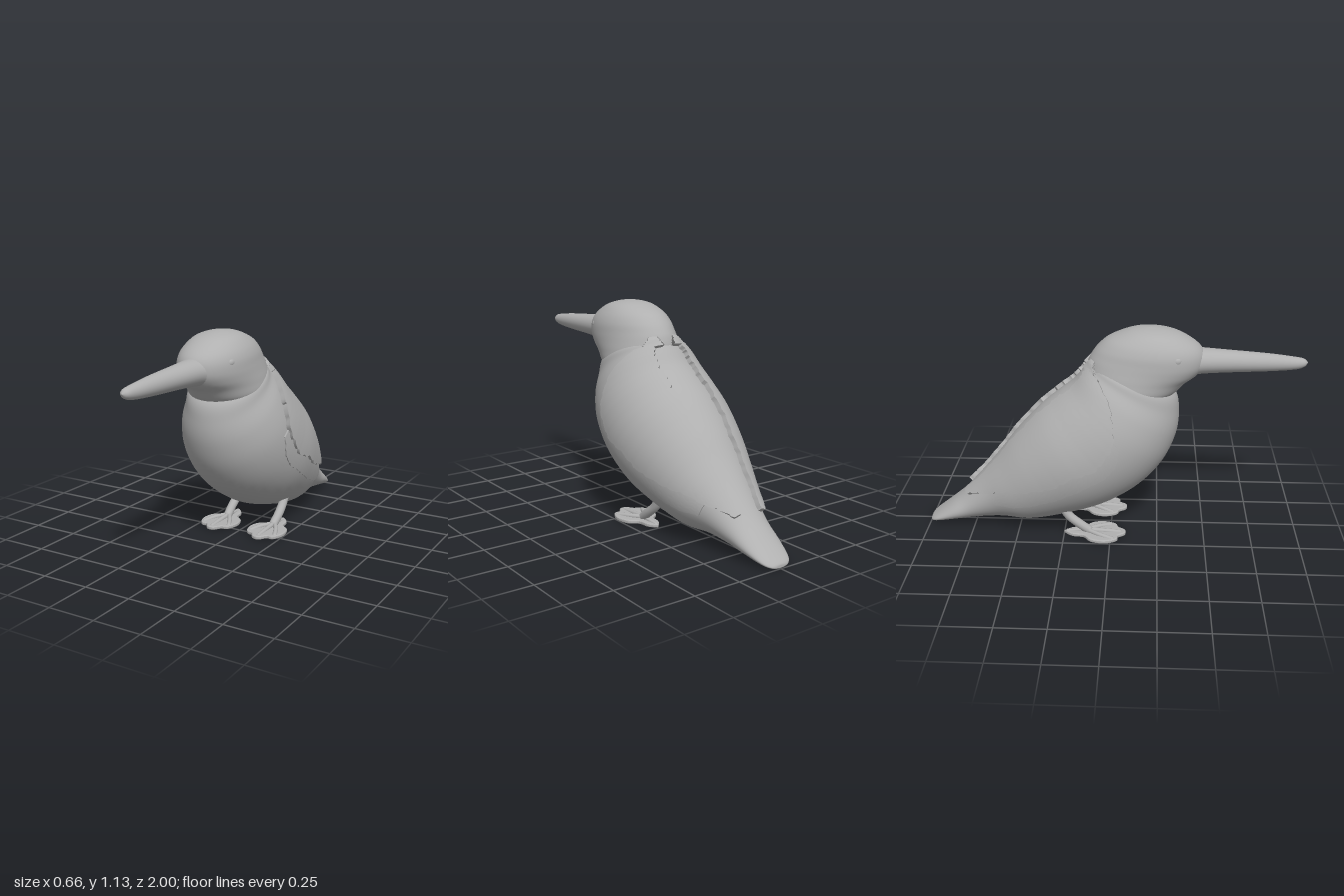
import * as THREE from 'three';
import { toCreasedNormals } from 'three/addons/utils/BufferGeometryUtils.js';

const plumage = new THREE.MeshStandardMaterial({ color: 0xb0b0b0 });
plumage.name = 'plumage grey';

// Sections are [z1, y1, z2, y2, halfWidth]: an oval spanning two points on the side profile.
const BODY = [
  [-1, .02, -1, .02, 0], [-.995, .035, -.995, .01, .05], [-.96, .065, -.95, .015, .085],
  [-.88, .13, -.84, .03, .11], [-.8, .2, -.72, .045, .125], [-.7, .31, -.58, .055, .16],
  [-.6, .43, -.42, .05, .215], [-.5, .56, -.22, .095, .265], [-.38, .69, -.02, .165, .3],
  [-.28, .775, .16, .28, .303], [-.2, .84, .28, .42, .288], [-.15, .9, .34, .56, .255],
  [-.12, .935, .353, .68, .215], [-.09, .96, .33, .79, .185], [0, .97, .22, .86, .08], [.1, .92, .1, .92, 0],
];
const HEAD = [
  [.1, .83, .1, .83, 0], [-.06, .83, .3, .797, .17], [-.12, .86, .335, .8, .197], [-.13, .91, .385, .85, .194],
  [-.118, .96, .44, .89, .188], [-.1, .995, .475, .94, .183], [-.07, 1.035, .475, 1, .175],
  [-.02, 1.078, .44, 1.05, .153], [.06, 1.112, .36, 1.1, .113], [.12, 1.128, .28, 1.125, .06], [.2, 1.135, .2, 1.135, 0],
];
const BEAK = [
  [.3, .96, .3, .96, 0], [.36, 1.03, .36, .88, .1], [.46, 1.025, .46, .892, .078], [.6, 1.015, .6, .9, .063],
  [.8, 1, .8, .908, .046], [.93, .985, .93, .918, .033], [.98, .975, .98, .932, .023], [1, .955, 1, .955, 0],
];

// Catmull-Rom interpolation of rows of numbers
function sample(rows, s) {
  const i = Math.min(Math.floor(s), rows.length - 2), t = s - i;
  const at = k => rows[Math.max(0, Math.min(rows.length - 1, k))];
  const [a, b, c, d] = [at(i - 1), at(i), at(i + 1), at(i + 2)];
  return b.map((_, k) => .5 * (2 * b[k] + (c[k] - a[k]) * t + (2 * a[k] - 5 * b[k] + 4 * c[k] - d[k]) * t * t
    + (3 * b[k] - a[k] - 3 * c[k] + d[k]) * t * t * t));
}

function pointOn(rows, s, angle) {
  const [z1, y1, z2, y2, w] = sample(rows, s), c = Math.cos(angle);
  return new THREE.Vector3(Math.max(0, w) * Math.sin(angle), (y1 + y2) / 2 + c * (y1 - y2) / 2, (z1 + z2) / 2 + c * (z1 - z2) / 2);
}

// Grid of points to geometry; closed joins the last column to the first
function gridGeometry(rows, closed) {
  const n = rows[0].length, index = [];
  for (let i = 0; i < rows.length - 1; i++) {
    for (let j = 0; j < (closed ? n : n - 1); j++) {
      const a = i * n + j, b = i * n + (j + 1) % n;
      index.push(a, a + n, b, b, a + n, b + n);
    }
  }
  const geo = new THREE.BufferGeometry().setFromPoints(rows.flat());
  geo.setIndex(index);
  geo.computeVertexNormals();
  return geo;
}

function loft(sections, sub = 6, sides = 48) {
  const rows = [];
  for (let i = 0; i <= (sections.length - 1) * sub; i++) {
    rows.push(Array.from({ length: sides }, (_, j) => pointOn(sections, i / sub, j / sides * Math.PI * 2)));
  }
  return gridGeometry(rows, true);
}

// Raised feather layer following the body; keys are [section, upper angle, lower angle] in degrees
function featherLayer(keys, lift, ragged) {
  const nu = 72, nv = 20, rows = [], rad = Math.PI / 180;
  const jag = k => ragged * (Math.sin(k * 1.7) + Math.sin(k * .61 + 2) + .6 * Math.sin(k * 2.9));
  for (let i = -1; i <= nu + 1; i++) {
    const u = Math.max(0, Math.min(nu, i)), row = [];
    const [s, lo, hi] = sample(keys, u / nu * (keys.length - 1));
    for (let j = -1; j <= nv + 1; j++) {
      const v = Math.max(0, Math.min(nv, j)) / nv;
      const angle = (lo + jag(u) + (hi + jag(u + 40) - lo - jag(u)) * v) * rad;
      const p = pointOn(BODY, s, angle), e = .02;
      const du = pointOn(BODY, s + e, angle).sub(pointOn(BODY, s - e, angle));
      const dv = pointOn(BODY, s, angle + e).sub(pointOn(BODY, s, angle - e));
      const rim = i < 0 || j < 0 || i > nu || j > nv;
      row.push(p.addScaledVector(du.cross(dv).normalize(), rim ? -.012 : lift));
    }
    rows.push(row);
  }
  return toCreasedNormals(gridGeometry(rows, false), .9);
}

function add(parent, name, geo) {
  const mesh = new THREE.Mesh(geo, plumage);
  mesh.name = name;
  parent.add(mesh);
  return mesh;
}

function rod(parent, name, points, radius) {
  const path = new THREE.CatmullRomCurve3(points.map(p => new THREE.Vector3(...p)));
  add(parent, name, new THREE.TubeGeometry(path, 12, radius, 12));
  const tip = add(parent, name + 'End', new THREE.SphereGeometry(radius, 12, 8));
  tip.position.set(...points[points.length - 1]);
}

// Webbed foot with leg, centred on x = 0
function leg() {
  const g = new THREE.Group();
  rod(g, 'shank', [[0, .2, -.27], [0, .12, -.225], [.003, .07, -.165], [0, .035, -.12]], .024);
  const outline = [[0, -.24], [.03, -.2], [.04, -.14], [.085, -.1], [.1, -.03], [.075, .03], [.04, .035],
    [.012, .072], [-.02, .07], [-.045, .035], [-.08, .02], [-.1, -.04], [-.085, -.1], [-.04, -.14], [-.03, -.2]];
  const shape = new THREE.Shape();
  shape.setFromPoints(new THREE.SplineCurve([...outline, outline[0]].map(([x, z]) => new THREE.Vector2(x, -z))).getPoints(60));
  const web = add(g, 'web', new THREE.ExtrudeGeometry(shape, { depth: .008, bevelThickness: .006, bevelSize: .007, bevelSegments: 3 }));
  web.rotation.x = -Math.PI / 2;
  web.position.y = .014;
  for (const [x, z] of [[-.075, .0], [0, .05], [.075, .01]]) {
    rod(g, 'toe', [[0, .033, -.13], [x * .6, .03, -.06], [x, .022, z]], .013);
  }
  rod(g, 'backToe', [[0, .033, -.13], [0, .022, -.23]], .012);
  return g;
}

export function createModel() {
  const bird = new THREE.Group();
  bird.name = 'bird';
  add(bird, 'bodyAndTail', loft(BODY));
  add(bird, 'head', loft(HEAD));
  add(bird, 'beak', loft(BEAK, 6, 32));

  const wing = featherLayer([[4.2, 25, 40], [5, 28, 63], [6, 24, 75], [7, 21, 89], [8, 20, 92], [9, 19, 95],
    [10, 20, 85], [11, 20, 66], [11.9, 19, 42]], .024, .9);
  const flank = featherLayer([[5.2, 50, 92], [6, 60, 103], [7, 70, 108], [8, 75, 108], [9, 75, 108], [9.8, 70, 96]], .008, .4);
  const nape = featherLayer([[11.6, 8, 34], [12.2, 10, 32], [12.9, 13, 24]], .022, .8);
  const eye = new THREE.SphereGeometry(.03, 20, 14);

  // Mirrored pairs: the model's left, then its right
  for (const [side, label] of [[1, 'left'], [-1, 'right']]) {
    const half = new THREE.Group();
    half.name = label + 'Side';
    half.scale.x = side;
    add(half, 'wing', wing);
    add(half, 'flankFeathers', flank);
    add(half, 'napeFeathers', nape);
    const ball = add(half, 'eye', eye);
    ball.position.set(.138, 1.0, .325);
    ball.scale.set(.7, .8, 1);
    const limb = leg();
    limb.name = 'legAndFoot';
    limb.position.x = .145;
    half.add(limb);
    bird.add(half);
  }
  return bird;
}
